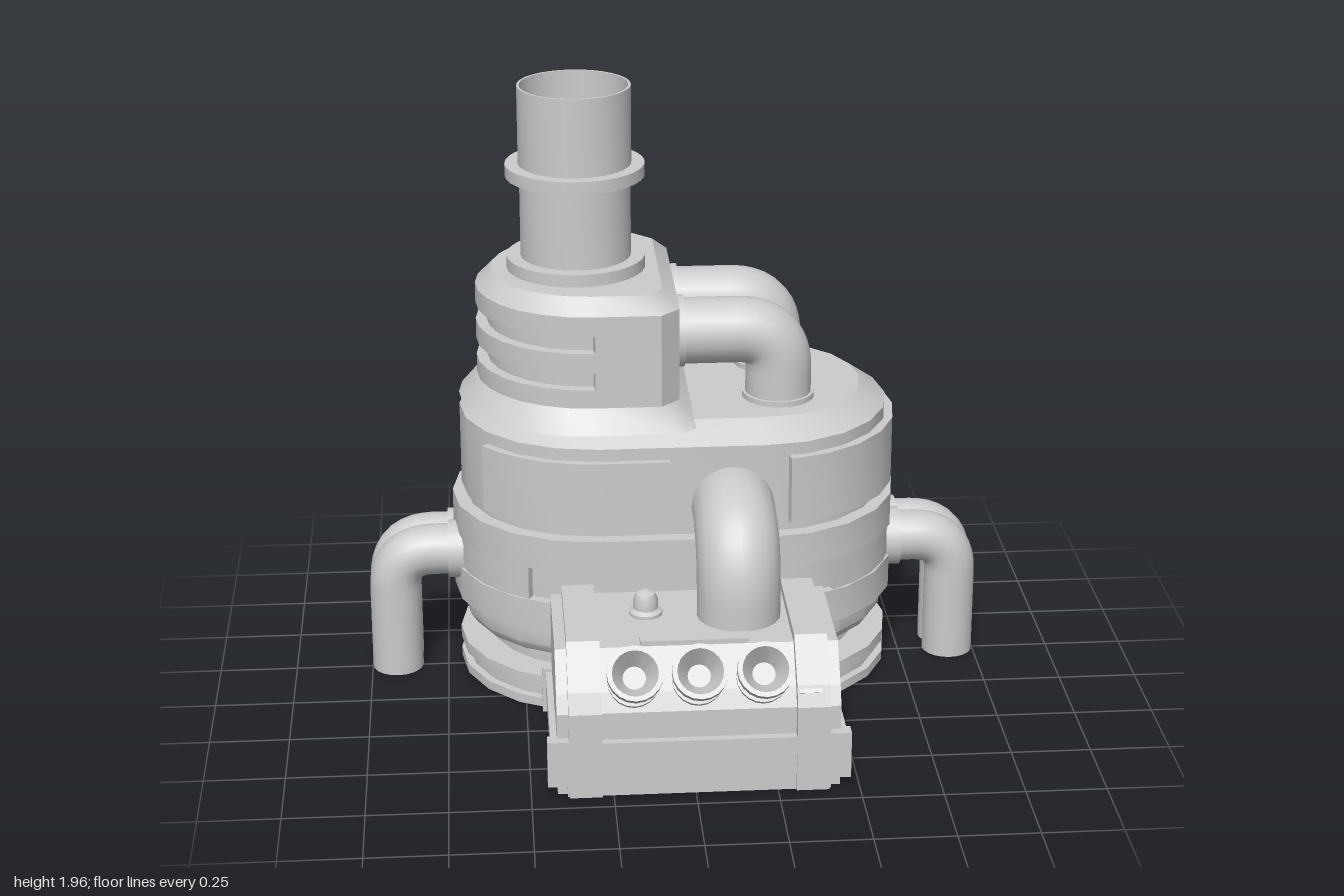
import * as THREE from 'three';
import { toCreasedNormals } from 'three/addons/utils/BufferGeometryUtils.js';

const ZC = -0.305; // depth centre of the tank
const DX = 0.26;   // half length of the tank's straight sides

export function createModel() {
  const model = new THREE.Group();
  const mat = new THREE.MeshStandardMaterial({ color: 0xcccccc });
  const openMat = new THREE.MeshStandardMaterial({ color: 0xcccccc, side: THREE.DoubleSide });

  const add = (name, geo, parent = model, m = mat) => {
    const mesh = new THREE.Mesh(geo, m);
    mesh.name = name;
    parent.add(mesh);
    return mesh;
  };
  const box = (name, x0, x1, y0, y1, z0, z1, parent) =>
    add(name, new THREE.BoxGeometry(x1 - x0, y1 - y0, z1 - z0), parent)
      .position.set((x0 + x1) / 2, (y0 + y1) / 2, (z0 + z1) / 2);

  // Points [x, -z] of an arc, in degrees, counter-clockwise seen from above
  const arc = (cx, r, a0, a1, n = 10) => Array.from({ length: n + 1 }, (_, i) => {
    const t = THREE.MathUtils.degToRad(a0 + (a1 - a0) * i / n);
    return [cx + r * Math.cos(t), r * Math.sin(t)];
  });
  const stadium = (r) => [...arc(DX, r, -90, 90), ...arc(-DX, r, 90, 270)];

  // Skin a stack of convex outlines, with closed ends
  const loft = (levels) => {
    const pos = [], idx = [], n = levels[0][1].length, last = levels.length - 1;
    levels.forEach(([y, pts]) => pts.forEach(([x, v]) => pos.push(x, y, ZC - v)));
    for (let l = 0; l < last; l++) {
      for (let i = 0; i < n; i++) {
        const a = l * n + i, b = l * n + (i + 1) % n;
        idx.push(a, b, a + n, b, b + n, a + n);
      }
    }
    for (let i = 1; i < n - 1; i++) {
      idx.push(0, i + 1, i, last * n, last * n + i, last * n + i + 1);
    }
    const g = new THREE.BufferGeometry();
    g.setAttribute('position', new THREE.Float32BufferAttribute(pos, 3));
    g.setIndex(idx);
    return toCreasedNormals(g, 0.6);
  };

  // Upright plate that follows a stretch of the tank wall
  const wallPlate = (name, outer, inner, y0, y1) => {
    const pts = [...outer, ...inner.reverse()].map(([x, y]) => new THREE.Vector2(x, y));
    const g = new THREE.ExtrudeGeometry(new THREE.Shape(pts), { depth: y1 - y0, bevelEnabled: false });
    g.rotateX(-Math.PI / 2).translate(0, y0, ZC);
    return add(name, toCreasedNormals(g, 0.6));
  };

  // Tank: stacked base rings, neck, bands and sloped shoulder, as [y, radius]
  add('tank', loft([
    [0.01, 0.445], [0.04, 0.445], [0.04, 0.42], [0.08, 0.42], [0.08, 0.445], [0.12, 0.445],
    [0.12, 0.345], [0.19, 0.345], [0.19, 0.41], [0.22, 0.43],
    [0.28, 0.43], [0.28, 0.46], [0.39, 0.46], [0.39, 0.43],
    [0.5, 0.43], [0.5, 0.46], [0.61, 0.46], [0.61, 0.415], [0.64, 0.415], [0.64, 0.43],
    [0.91, 0.43], [0.97, 0.345],
  ].map(([y, r]) => [y, stadium(r)])));

  // Raised plates on the tank
  wallPlate('endBand', arc(DX, 0.457, -80, 80), arc(DX, 0.42, -80, 80), 0.65, 0.87);
  const frontPlate = (r) => [...arc(-DX, r, 217, 270, 5), [-0.04, -r]];
  wallPlate('frontPlate', frontPlate(0.452), frontPlate(0.42), 0.65, 0.87);
  for (const [c, a] of [[DX, 0], [-DX, 180]]) {
    wallPlate('pipePlate', arc(c, 0.452, a - 60, a + 60), arc(c, 0.42, a - 60, a + 60), 0.39, 0.5);
  }

  // Tower: round at one end, chamfered square at the other, with vent slots
  const towerPlan = (inset, slot = 0) => {
    const h = 0.36 - inset, x = -inset, c = 0.06;
    return [[x, c - h], [x, h - c], [x - c, h], [-0.265, h],
      ...arc(-0.27, h - slot, 90, 270, 14), [-0.265, -h], [x - c, -h]];
  };
  const tower = [[0.95, towerPlan(-0.06)], [1.02, towerPlan(0)]];
  for (const y of [1.08, 1.2]) {
    tower.push([y, towerPlan(0)], [y, towerPlan(0, 0.035)],
      [y + 0.055, towerPlan(0, 0.035)], [y + 0.055, towerPlan(0)]);
  }
  tower.push([1.32, towerPlan(0)], [1.37, towerPlan(0.05)]);
  add('tower', loft(tower));

  // Turned parts from [radius, height] points
  const lathe = (name, pts, parent, seg = 32) => add(name, toCreasedNormals(
    new THREE.LatheGeometry(pts.map(([r, y]) => new THREE.Vector2(r, y)), seg), 0.6), parent, openMat);

  // Open chimney with base ring and collar
  lathe('chimney', [[0.22, 1.36], [0.22, 1.41], [0.175, 1.41], [0.175, 1.67], [0.22, 1.67],
    [0.22, 1.71], [0.178, 1.71], [0.178, 1.96], [0.17, 1.96], [0.17, 1.38], [0, 1.38]])
    .position.set(-0.308, 0, ZC);

  // Elbow pipe from a to b, rounded at the corner
  const elbow = (name, a, corner, b, bend, r) => {
    const [A, C, B] = [a, corner, b].map((p) => new THREE.Vector3(...p));
    const p = C.clone().add(A.clone().sub(C).setLength(bend));
    const q = C.clone().add(B.clone().sub(C).setLength(bend));
    const path = new THREE.CurvePath();
    path.add(new THREE.LineCurve3(A, p));
    path.add(new THREE.QuadraticBezierCurve3(p, C, q));
    path.add(new THREE.LineCurve3(q, B));
    add(name, new THREE.TubeGeometry(path, 28, r, 20), model, openMat);
  };
  const flange = (x, y, z, r, h, axis) => {
    const f = add('flange', new THREE.CylinderGeometry(r, r, h, 24));
    f.position.set(x, y, z);
    if (axis) f.rotation[axis] = Math.PI / 2;
  };

  // Twin pipes from the tower into the tank roof
  for (const z of [ZC - 0.152, ZC + 0.152]) {
    elbow('roofPipe', [-0.02, 1.195, z], [0.325, 1.195, z], [0.325, 0.95, z], 0.13, 0.105);
    flange(0.01, 1.195, z, 0.115, 0.025, 'z');
    flange(0.325, 0.975, z, 0.115, 0.025);
  }

  // Paired drain pipes at both ends
  for (const s of [-1, 1]) {
    for (const z of [ZC - 0.048, ZC + 0.048]) {
      elbow('drainPipe', [s * 0.66, 0.42, z], [s * 0.916, 0.42, z], [s * 0.916, 0.005, z], 0.13, 0.083);
      flange(s * 0.715, 0.42, z, 0.095, 0.05, 'z');
    }
  }

  // Large pipe from the tank down into the control box
  elbow('feedPipe', [0.157, 0.71, 0.08], [0.157, 0.71, 0.345], [0.157, 0.42, 0.345], 0.21, 0.13);

  // Control box: slices of one sloped profile, run along x
  const control = new THREE.Group();
  control.name = 'controlBox';
  control.position.x = 0.01;
  model.add(control);
  const slice = (name, x0, x1, inset) => {
    const f = 0.7 - inset, t = 0.47 - inset;
    const pts = [[0.165, 0.01], [f, 0.01], [f, 0.29 - inset * 0.4], [f - 0.03, 0.35 - inset * 0.6],
      [0.565 - inset * 0.4, t], [0.165, t]];
    const shape = new THREE.Shape(pts.map(([z, y]) => new THREE.Vector2(z, y)));
    const g = new THREE.ExtrudeGeometry(shape, { depth: x1 - x0, bevelEnabled: false });
    add(name, g.rotateY(-Math.PI / 2).translate(x1, 0, 0), control);
  };
  slice('boxCore', -0.43, 0.43, 0.03);
  for (const s of [-1, 1]) {
    slice('boxRib', s * 0.345 - 0.05, s * 0.345 + 0.05, 0);
    for (const z of [0.18, 0.675]) {
      box('cornerClamp', s * 0.42 - 0.04, s * 0.42 + 0.04, 0.05, 0.2, z - 0.02, z + 0.025, control);
    }
  }
  box('boxBase', -0.4, 0.4, 0.01, 0.12, 0.165, 0.69, control);
  box('boxRim', -0.45, 0.45, 0.12, 0.19, 0.165, 0.695, control);
  box('topStrip', -0.17, 0.16, 0.43, 0.455, 0.5, 0.55, control);

  // Knob on the lid
  lathe('knob', [[0.052, 0.43], [0.052, 0.45], [0.038, 0.46], [0.038, 0.49], [0.03, 0.51], [0, 0.522]],
    control, 16).position.set(-0.14, 0, 0.32);

  // Funnel nozzles and a switch on the sloped face
  const slope = new THREE.Group();
  slope.name = 'slopedFace';
  slope.position.set(0, 0.35, 0.61);
  slope.rotation.x = 0.9;
  control.add(slope);
  for (const x of [-0.195, 0, 0.195]) {
    lathe('nozzle', [[0.08, -0.03], [0.08, 0.025], [0.05, 0.03], [0.05, 0.07], [0.085, 0.1],
      [0.085, 0.13], [0.07, 0.13], [0.035, 0.06], [0, 0.06]], slope, 20).position.x = x;
  }
  box('switch', 0.3, 0.37, -0.02, 0.045, -0.05, 0.06, slope);

  return model;
}
